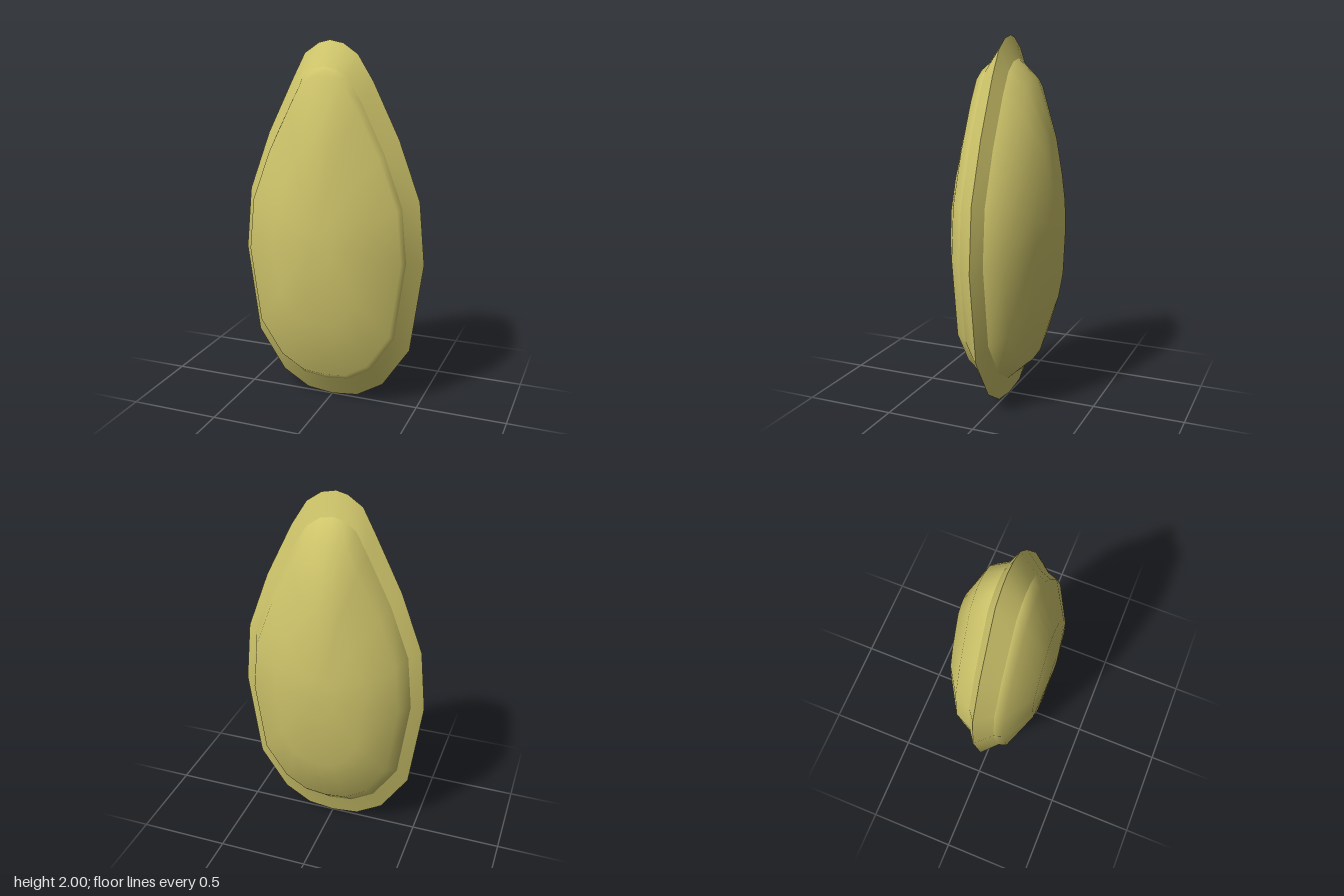
import * as THREE from 'three';

// Right half of the rim outline, top to bottom (x, y)
const HALF = [[-0.015, 2], [0.06, 1.985], [0.14, 1.93], [0.225, 1.795], [0.37, 1.5], [0.488, 1.18], [0.52, 0.84],
  [0.452, 0.34], [0.3, 0.11], [0.15, 0.02], [0, 0.003]];
const OUTLINE = [...HALF, ...HALF.slice(1, -1).reverse().map(([x, y]) => [-x - (y > 1.9 ? 0.015 : 0), y])];

// Nested cross-sections: [z, half width, lowest y, highest y]
const FRONT = [[0, 0.52, 0, 2], [0.09, 0.446, 0.14, 1.87], [0.14, 0.432, 0.18, 1.83],
  [0.24, 0.245, 0.51, 1.5], [0.26, 0.1, 0.84, 1.16], [0.265, 0.06, 0.92, 1.08]];
const BACK = [[0, 0.52, 0, 2], [-0.045, 0.456, 0.13, 1.88], [-0.14, 0.412, 0.22, 1.79],
  [-0.24, 0.245, 0.51, 1.5], [-0.262, 0.1, 0.84, 1.16], [-0.268, 0.06, 0.92, 1.08]];

// Skin between scaled copies of the outline, optionally closed in the middle
function skin(rings, front, closed) {
  const n = OUTLINE.length, pos = [], idx = [];
  const tri = (a, b, c) => (front ? idx.push(a, b, c) : idx.push(a, c, b));
  for (const [z, w, lo, hi] of rings)
    for (const [x, y] of OUTLINE) pos.push(x * w / 0.52, lo + y * (hi - lo) / 2, z);
  for (let r = 0; r < rings.length - 1; r++)
    for (let j = 0; j < n; j++) {
      const k = (j + 1) % n, a = r * n + j, b = r * n + k;
      tri(a, a + n, b);
      tri(b, a + n, b + n);
    }
  if (closed) {
    const last = (rings.length - 1) * n, c = pos.length / 3;
    pos.push(0, 1, rings[rings.length - 1][0]);
    for (let j = 0; j < n; j++) tri(last + j, c, last + (j + 1) % n);
  }
  const g = new THREE.BufferGeometry();
  g.setAttribute('position', new THREE.Float32BufferAttribute(pos, 3));
  g.setIndex(idx);
  g.computeVertexNormals();
  return g;
}

export function createModel() {
  const model = new THREE.Group();
  model.name = 'seed';
  const husk = new THREE.MeshStandardMaterial({ color: 0xcfc56b });
  husk.name = 'yellow husk';
  for (const [side, rings, front] of [['front', FRONT, true], ['back', BACK, false]]) {
    // Sharp flange around the seam
    const flange = new THREE.Mesh(skin(rings.slice(0, 2), front, false), husk);
    flange.name = side + 'Flange';
    // Smooth bulging shell
    const shell = new THREE.Mesh(skin(rings.slice(1), front, true), husk);
    shell.name = side + 'Shell';
    model.add(flange, shell);
  }
  return model;
}
